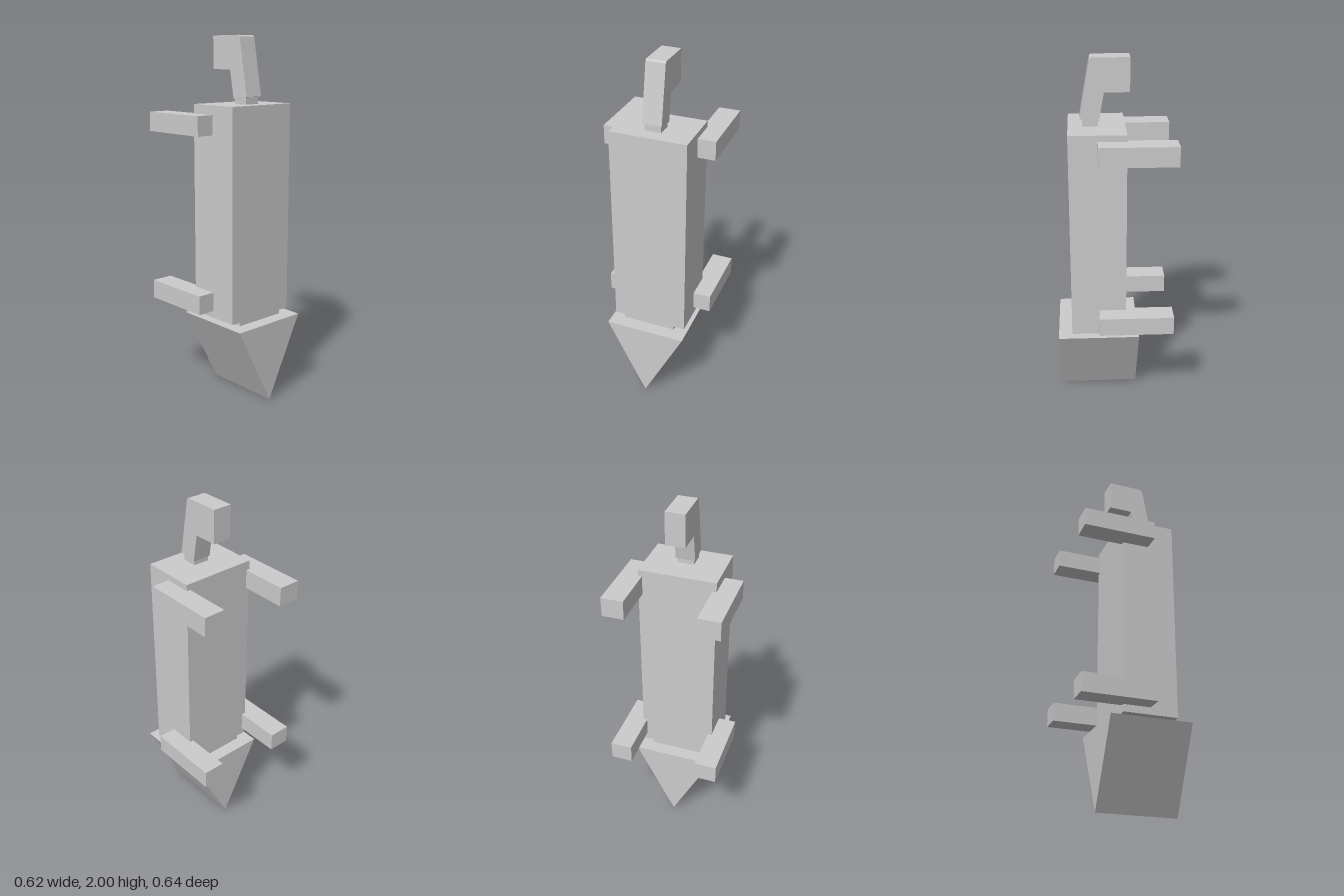
import * as THREE from 'three';

export function createModel() {
  const group = new THREE.Group();
  const material = new THREE.MeshStandardMaterial({ color: 0xcccccc, flatShading: true });

  const add = (name, geometry) => {
    const mesh = new THREE.Mesh(geometry, material);
    mesh.name = name;
    group.add(mesh);
    return mesh;
  };

  // Box given by its lower and upper limits on each axis
  const box = (name, x0, x1, y0, y1, z0, z1) =>
    add(name, new THREE.BoxGeometry(x1 - x0, y1 - y0, z1 - z0))
      .position.set((x0 + x1) / 2, (y0 + y1) / 2, (z0 + z1) / 2);

  const outline = (points) => new THREE.Shape(points.map(([x, y]) => new THREE.Vector2(x, y)));

  // Body and the narrow joint above the foot
  box('body', -0.212, 0.212, 0.478, 1.642, -0.061, 0.243);
  box('footJoint', -0.155, 0.15, 0.45, 0.478, -0.061, 0.243);

  // Wedge foot with its sharp edge running front to back
  const foot = new THREE.ExtrudeGeometry(
    outline([[0, 0.003], [0.228, 0.457], [-0.228, 0.457]]),
    { depth: 0.455, bevelEnabled: false });
  foot.translate(0, 0, -0.135);
  add('wedgeFoot', foot);

  // Four arms reaching backwards
  box('leftUpperArm', 0.19, 0.31, 1.502, 1.608, -0.32, 0.09);
  box('rightUpperArm', -0.313, -0.19, 1.486, 1.592, -0.32, 0.09);
  box('leftLowerArm', 0.19, 0.311, 0.524, 0.628, -0.32, 0.09);
  box('rightLowerArm', -0.313, -0.19, 0.518, 0.624, -0.32, 0.09);

  // Short neck below the head
  box('neck', -0.045, 0.045, 1.63, 1.69, 0.083, 0.166);

  // Hooked head: side profile as (z, y), turned so its depth runs along x
  const head = new THREE.ExtrudeGeometry(
    outline([[0.18, 1.682], [0.125, 1.992], [0.115, 2], [-0.083, 2],
      [-0.083, 1.822], [0.052, 1.822], [0.079, 1.667]]),
    { depth: 0.106, bevelEnabled: false });
  head.rotateY(-Math.PI / 2).translate(0.053, 0, 0);
  add('hookedHead', head);

  return group;
}
